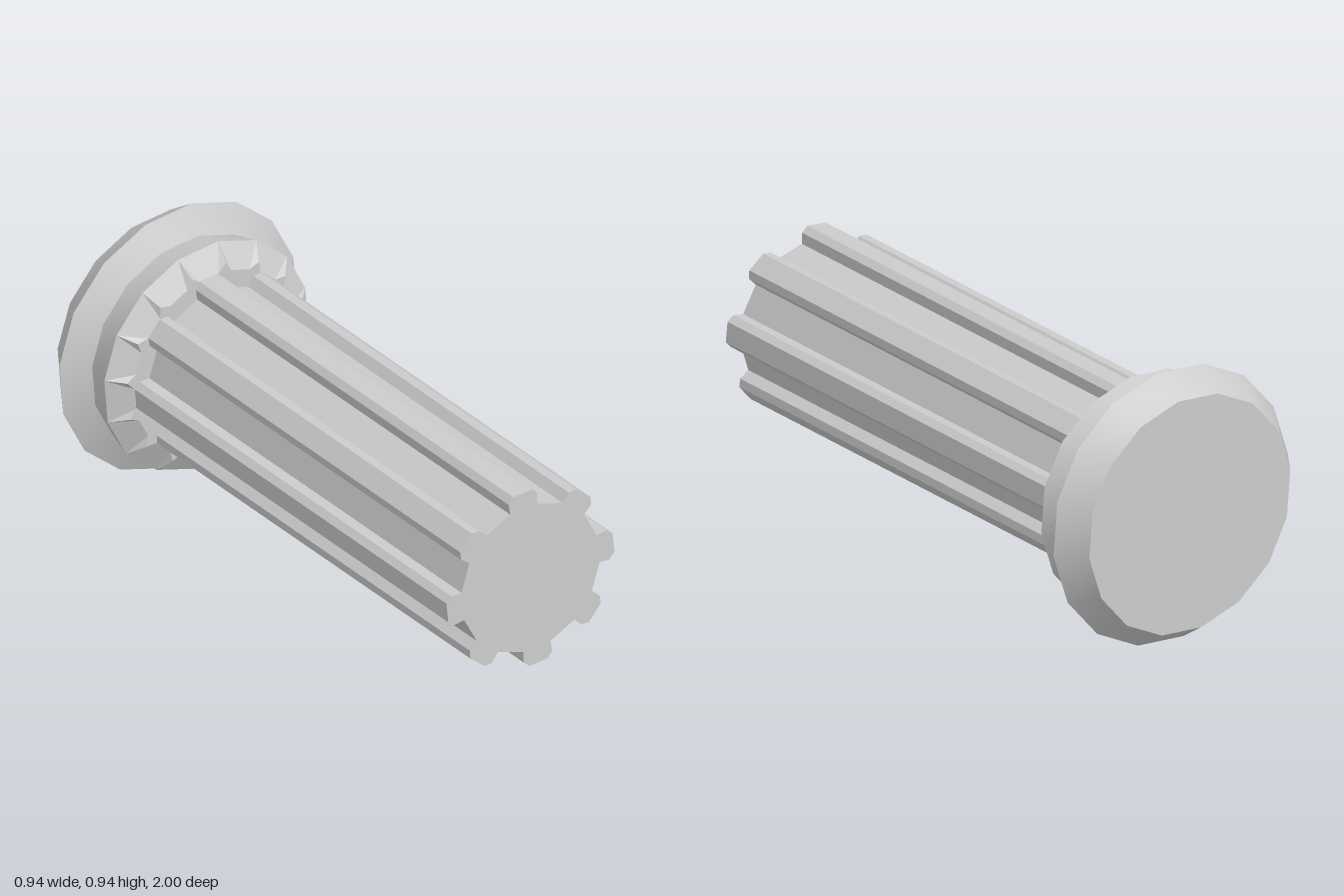
import * as THREE from 'three';
import { toCreasedNormals } from 'three/addons/utils/BufferGeometryUtils.js';

const SIDES = 16;
const DEG = Math.PI / 180;
const STEP = 360 / SIDES;
const START = -6.5; // angle of the first corner, degrees

const polar = (r, deg, z = 0) => new THREE.Vector3(r * Math.cos(deg * DEG), r * Math.sin(deg * DEG), z);

// Turned base: foot rim, neck and collar, lying along z
function baseGeometry() {
  const profile = [[0, -1], [0.406, -1], [0.473, -0.9], [0.38, -0.85], [0.406, -0.75]]
    .map(([r, y]) => new THREE.Vector2(r, y));
  const geo = new THREE.LatheGeometry(profile, SIDES, (START + 90) * DEG);
  geo.rotateX(Math.PI / 2);
  return toCreasedNormals(geo, 0.48);
}

// Collar end: scooped facets between small ridges, closed by a flat face
function crownGeometry() {
  const pts = [];
  const tri = (...v) => v.forEach((p) => pts.push(p.x, p.y, p.z));
  const zRim = -0.75, zEnd = -0.7;
  const centre = new THREE.Vector3(0, 0, zEnd);
  for (let i = 0; i < SIDES; i++) {
    const a = START + i * STEP, b = a + STEP;
    const rimA = polar(0.406, a, zRim), rimB = polar(0.406, b, zRim);
    const ridgeA = polar(0.352, a, zEnd), ridgeB = polar(0.352, b, zEnd);
    const inA = polar(0.322, a + 4.5, zEnd), inB = polar(0.322, b - 4.5, zEnd);
    tri(rimA, rimB, inB);
    tri(rimA, inB, inA);
    tri(rimA, inA, ridgeA);
    tri(rimB, ridgeB, inB);
    tri(centre, ridgeA, inA);
    tri(centre, inA, inB);
    tri(centre, inB, ridgeB);
  }
  const geo = new THREE.BufferGeometry();
  geo.setAttribute('position', new THREE.Float32BufferAttribute(pts, 3));
  geo.computeVertexNormals();
  return geo;
}

// Splined shaft: eight chamfered teeth, front end cut slightly askew
function shaftGeometry() {
  const tooth = [[0.264, -11.25], [0.302, -10.4], [0.32, -6.3], [0.32, 6.3], [0.302, 10.4], [0.264, 11.25]];
  const outline = [];
  for (let i = 0; i < 8; i++) {
    const mid = START + STEP * (2 * i + 0.5) + STEP * 2;
    for (const [r, d] of tooth) {
      const p = polar(r, mid + d);
      outline.push(new THREE.Vector2(p.x, p.y));
    }
  }
  const geo = new THREE.ExtrudeGeometry(new THREE.Shape(outline), { depth: 1, bevelEnabled: false });
  const pos = geo.attributes.position;
  for (let i = 0; i < pos.count; i++) {
    const front = 0.982 + 0.05 * pos.getX(i) - 0.02 * pos.getY(i);
    pos.setZ(i, pos.getZ(i) > 0.5 ? front : -0.72);
  }
  geo.computeVertexNormals();
  return geo;
}

export function createModel() {
  const group = new THREE.Group();
  const smooth = new THREE.MeshStandardMaterial({ color: 0xcccccc });
  const flat = new THREE.MeshStandardMaterial({ color: 0xcccccc, flatShading: true });
  const add = (name, geo, mat) => {
    const mesh = new THREE.Mesh(geo, mat);
    mesh.name = name;
    mesh.position.y = 0.475;
    group.add(mesh);
  };
  add('base', baseGeometry(), smooth);
  add('collarEnd', crownGeometry(), flat);
  add('splinedShaft', shaftGeometry(), flat);
  return group;
}
